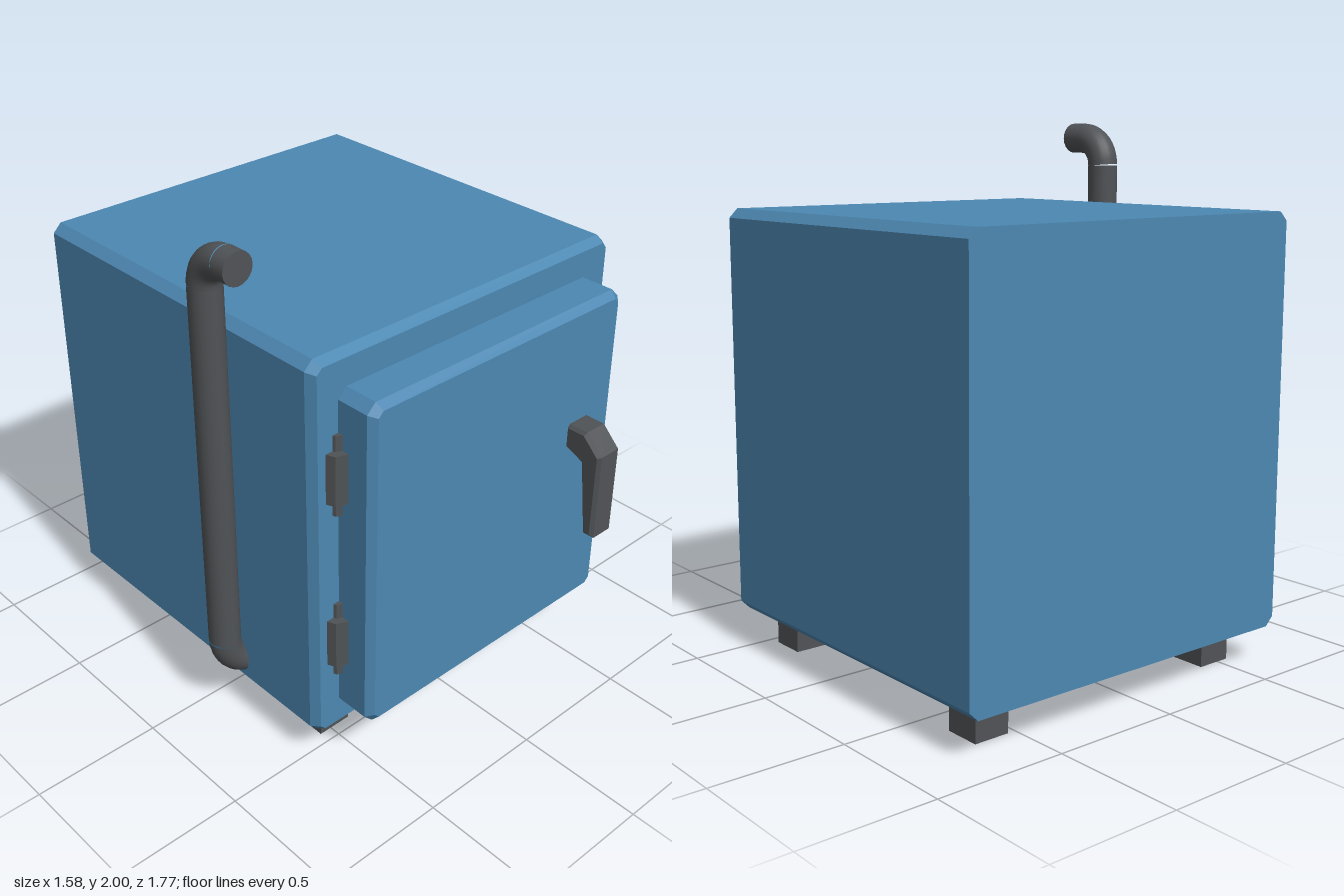
import * as THREE from 'three';

const blue = new THREE.MeshStandardMaterial({ color: 0x4d88b2 });
blue.name = 'blue paint';
const iron = new THREE.MeshStandardMaterial({ color: 0x505356 });
iron.name = 'dark iron';

// Rectangle with cut corners, counter-clockwise
function cutRect(x0, x1, y0, y1, c) {
  return [[x0 + c, y0], [x1 - c, y0], [x1, y0 + c], [x1, y1 - c],
    [x1 - c, y1], [x0 + c, y1], [x0, y1 - c], [x0, y0 + c]];
}

// Block with cut long edges and a chamfered front, flat at the back
function chamferedBlock(x0, x1, y0, y1, z0, z1, cut, inset, depth) {
  const outer = cutRect(x0, x1, y0, y1, cut);
  const inner = cutRect(x0 + inset, x1 - inset, y0 + inset, y1 - inset,
    cut - inset * (2 - Math.SQRT2));
  const rings = [[outer, z0], [outer, z1 - depth], [inner, z1]]
    .map(([ring, z]) => ring.map(([x, y]) => [x, y, z]));
  const pos = [];
  const tri = (a, b, c) => pos.push(...a, ...b, ...c);
  for (let r = 0; r < 2; r++) {
    for (let i = 0; i < 8; i++) {
      const j = (i + 1) % 8;
      const [a, b, c, d] = [rings[r][i], rings[r][j], rings[r + 1][j], rings[r + 1][i]];
      tri(a, b, c);
      tri(a, c, d);
    }
  }
  for (let i = 1; i < 7; i++) {
    tri(rings[0][0], rings[0][i + 1], rings[0][i]);
    tri(rings[2][0], rings[2][i], rings[2][i + 1]);
  }
  const geo = new THREE.BufferGeometry();
  geo.setAttribute('position', new THREE.Float32BufferAttribute(pos, 3));
  geo.computeVertexNormals();
  return geo;
}

export function createModel() {
  const model = new THREE.Group();
  model.name = 'stove';
  const add = (name, geo, mat, x = 0, y = 0, z = 0, parent = model) => {
    const mesh = new THREE.Mesh(geo, mat);
    mesh.name = name;
    mesh.position.set(x, y, z);
    parent.add(mesh);
    return mesh;
  };

  // Cabinet and door
  add('body', chamferedBlock(-0.67, 0.785, 0.14, 1.685, -0.885, 0.57, 0.034, 0.021, 0.036), blue);
  add('door', chamferedBlock(-0.56, 0.68, 0.23, 1.56, 0.56, 0.73, 0.036, 0.026, 0.026), blue);

  // Feet
  const foot = new THREE.BoxGeometry(0.14, 0.15, 0.14);
  for (const x of [-0.48, 0.6]) {
    for (const z of [0.385, -0.7]) add('foot', foot, iron, x, 0.075, z);
  }

  // Hinges: a thick barrel around a longer pin
  for (const y of [0.555, 1.243]) {
    const hinge = new THREE.Group();
    hinge.name = 'hinge';
    hinge.position.set(-0.56, y, 0.56);
    model.add(hinge);
    add('hingeBarrel', new THREE.CylinderGeometry(0.06, 0.06, 0.195, 8).toNonIndexed(), iron, 0, 0, 0, hinge);
    add('hingePin', new THREE.CylinderGeometry(0.03, 0.03, 0.315, 8).toNonIndexed(), iron, 0, 0, 0, hinge);
    hinge.children.forEach((m) => m.geometry.computeVertexNormals());
  }

  // Door handle: hooked side profile, extruded across x
  const profile = new THREE.Shape([
    [0.72, 0.99], [0.80, 0.957], [0.838, 0.658], [0.887, 0.658],
    [0.887, 1.016], [0.812, 1.09], [0.72, 1.09],
  ].map(([z, y]) => new THREE.Vector2(z, y)));
  const bevel = 0.013;
  const width = 0.118;
  const handle = new THREE.ExtrudeGeometry(profile, {
    depth: width - 2 * bevel, bevelEnabled: true, bevelSegments: 1,
    bevelSize: bevel, bevelThickness: bevel, bevelOffset: -bevel,
  });
  handle.translate(0, 0, -width / 2 + bevel).rotateY(-Math.PI / 2);
  add('handle', handle, iron, 0.486);

  // Flue pipe: leaves the side wall, rises, then turns forward at the top
  const V = (x, y, z) => new THREE.Vector3(x, y, z);
  const bend = (centre, from, to, r) => {
    const pts = [];
    for (let i = 0; i <= 8; i++) {
      const a = (i / 8) * Math.PI / 2;
      pts.push(centre.clone().addScaledVector(from, r * Math.cos(a)).addScaledVector(to, r * Math.sin(a)));
    }
    return new THREE.CatmullRomCurve3(pts);
  };
  const px = -0.73;
  const pz = 0.126;
  const topY = 1.94;
  const low = bend(V(px + 0.14, 0.37, pz), V(0, -1, 0), V(-1, 0, 0), 0.14);
  const high = bend(V(px, topY - 0.11, pz + 0.11), V(0, 0, -1), V(0, 1, 0), 0.11);
  const pipe = new THREE.Group();
  pipe.name = 'fluePipe';
  model.add(pipe);
  const R = 0.06;
  add('lowerElbow', new THREE.TubeGeometry(low, 10, R, 20), iron, 0, 0, 0, pipe);
  add('upperElbow', new THREE.TubeGeometry(high, 10, R, 20), iron, 0, 0, 0, pipe);
  const bottom = 0.37;
  const rise = topY - 0.11 - bottom;
  add('pipeShaft', new THREE.CylinderGeometry(R, R, rise, 20, 1, true), iron, px, bottom + rise / 2, pz, pipe);
  const start = pz + 0.11;
  const end = 0.3;
  add('pipeMouth', new THREE.CylinderGeometry(R, R, end - start, 20).rotateX(Math.PI / 2),
    iron, px, topY, (start + end) / 2, pipe);

  return model;
}
